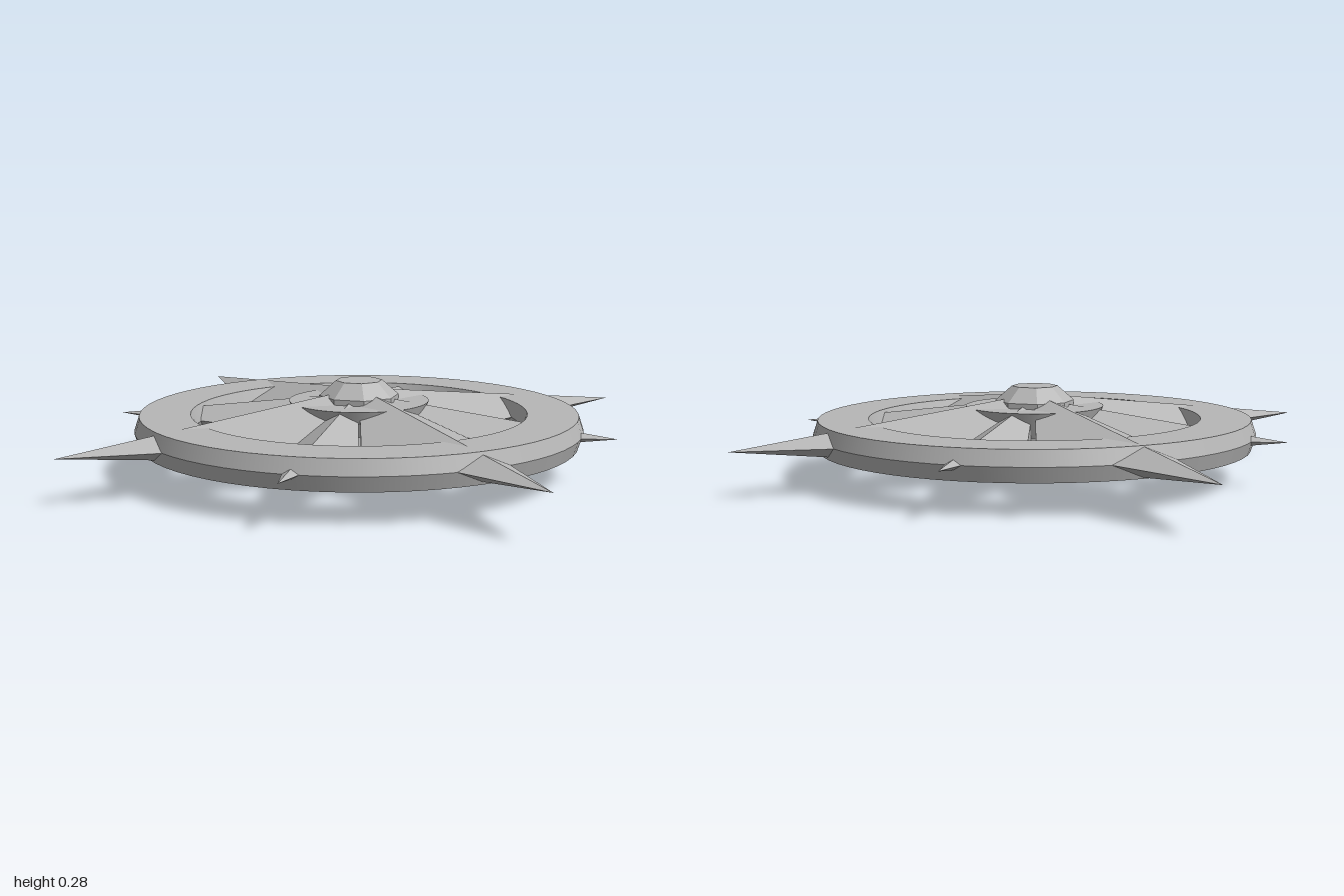
import * as THREE from 'three';
import { mergeGeometries } from 'three/addons/utils/BufferGeometryUtils.js';

const metal = new THREE.MeshStandardMaterial({ color: 0xb6b6b6 });
metal.name = 'grey metal';

// Revolve each profile segment separately: smooth around, sharp between bands
function bands(profile, segments) {
  const parts = [];
  for (let i = 0; i < profile.length - 1; i++) {
    const pts = [profile[i], profile[i + 1]].map(([r, y]) => new THREE.Vector2(r, y));
    parts.push(new THREE.LatheGeometry(pts, segments));
  }
  return mergeGeometries(parts);
}

// Kite-shaped spike along +z: ridge falling from the centre to the tip
function spike(length, widest, halfWidth, height) {
  const top = [0, height, 0], bottom = [0, -height, 0], tip = [0, 0, length];
  const left = [halfWidth, 0, widest], right = [-halfWidth, 0, widest];
  const faces = [
    top, tip, left, top, right, tip,
    bottom, left, tip, bottom, tip, right,
    top, left, bottom, top, bottom, right,
  ];
  const geo = new THREE.BufferGeometry();
  geo.setAttribute('position', new THREE.Float32BufferAttribute(faces.flat(), 3));
  geo.computeVertexNormals();
  return geo;
}

export function createModel() {
  const model = new THREE.Group();
  model.name = 'spikedWheel';
  const add = (name, geo, angle = 0) => {
    const mesh = new THREE.Mesh(geo, metal);
    mesh.name = name;
    mesh.position.set(0, 0.139, 0.035);
    mesh.rotation.y = angle;
    model.add(mesh);
  };

  // Outer ring with bevelled inner and outer walls
  add('outerRing', bands([
    [0.657, -0.045], [0.672, 0], [0.657, 0.045], [0.505, 0.045],
    [0.49, 0], [0.505, -0.045], [0.657, -0.045],
  ], 64));

  // Disc around the hub, undercut towards its middle
  add('centreDisc', bands([
    [0, -0.079], [0.21, -0.079], [0.18, 0], [0.21, 0.079], [0, 0.079],
  ], 48));

  // Faceted octagonal hub
  const hub = bands([
    [0, -0.139], [0.07, -0.139], [0.12, -0.095], [0.12, 0.095], [0.07, 0.139], [0, 0.139],
  ], 8).toNonIndexed();
  hub.computeVertexNormals();
  add('hub', hub, Math.PI / 8);

  // Four main spikes: front, left, back, right
  const main = [[0.965, 0.33], [0.95, 0.27], [1.035, 0.375], [0.95, 0.27]];
  main.forEach(([length, widest], i) =>
    add('mainSpike', spike(length, widest, 0.18, 0.115), i * Math.PI / 2));

  // Four shorter diagonal spikes
  for (let i = 0; i < 4; i++) {
    add('diagonalSpike', spike(0.775, 0.35, 0.095, 0.1), Math.PI / 4 + i * Math.PI / 2);
  }

  return model;
}
